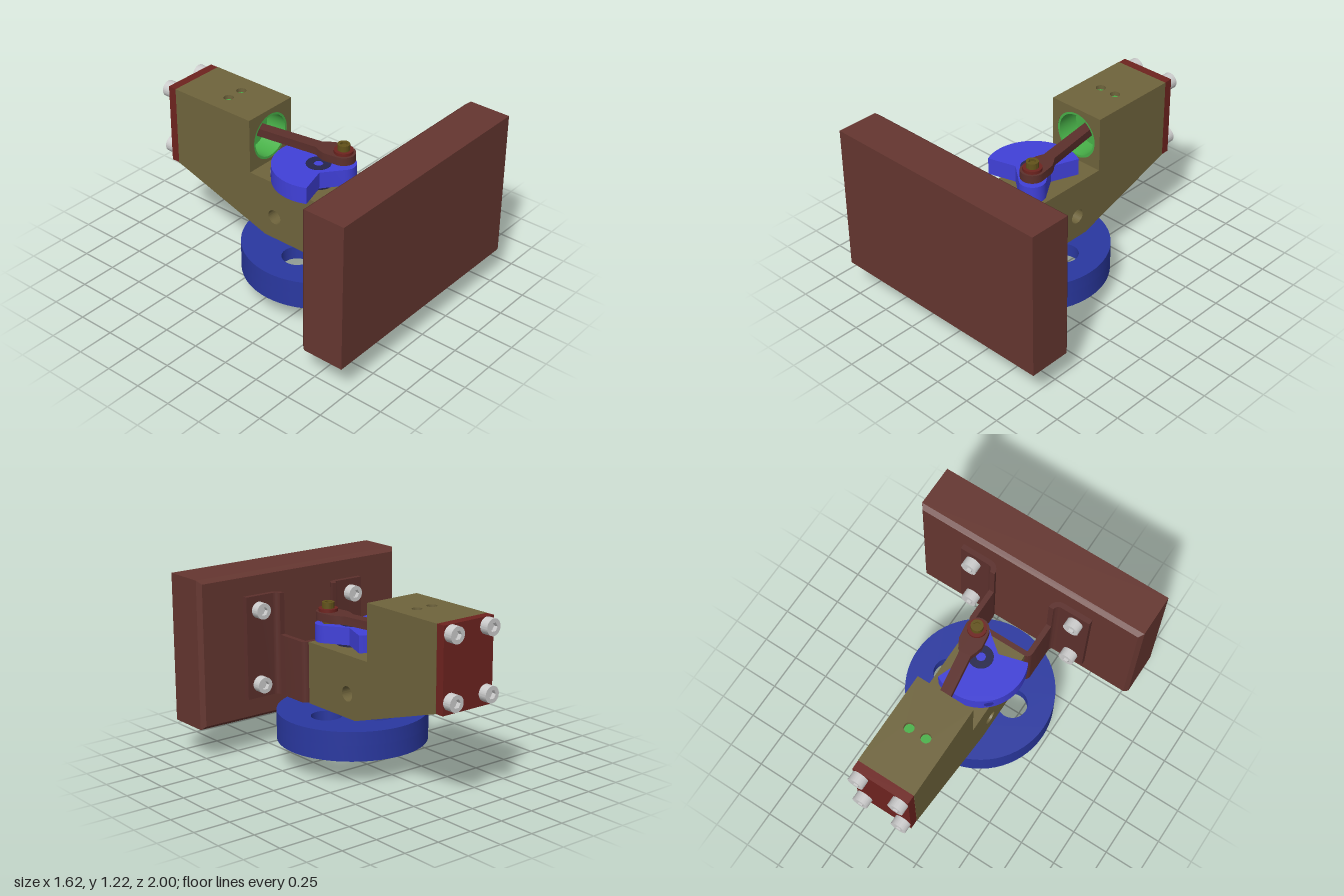
import * as THREE from 'three';
import { toCreasedNormals } from 'three/addons/utils/BufferGeometryUtils.js';

const mat = (color) => new THREE.MeshStandardMaterial({ color, side: THREE.DoubleSide });
const M = {
  board: mat(0x653630), bracket: mat(0x5c302c), housing: mat(0x6f643c), plate: mat(0x6e231f),
  wheel: mat(0x2a38a0), shaft: mat(0x26264c), web: mat(0x4040d8), socket: mat(0x2c2ca0),
  liner: mat(0x48b048), pin: mat(0x62521a), steel: mat(0xcccccc),
};
const CRANK = { x: 0, z: 0.15 }, PIN = { x: 0.105, z: 0.265 }, BORE_Y = 0.965;

export function createModel() {
  const model = new THREE.Group();

  const add = (name, geo, material, parent = model) => {
    const mesh = new THREE.Mesh(geo, material);
    mesh.name = name;
    parent.add(mesh);
    return mesh;
  };
  const poly = (pts) => new THREE.Shape(pts.map(([a, b]) => new THREE.Vector2(a, b)));
  const circle = (x, y, r) => new THREE.Shape().absarc(x, y, r, 0, Math.PI * 2);
  const arc = (cx, cy, r, a0, a1, n = 10) => Array.from({ length: n + 1 }, (_, i) => {
    const a = a0 + (a1 - a0) * i / n;
    return [cx + r * Math.cos(a), cy + r * Math.sin(a)];
  });
  const extrude = (shape, depth) => toCreasedNormals(
    new THREE.ExtrudeGeometry(shape, { depth, bevelEnabled: false, curveSegments: 32 }), 0.5);
  // outline drawn in (x, z), extruded between two heights
  const slab = (shape, y0, y1) => extrude(shape, y1 - y0).rotateX(Math.PI / 2).translate(0, y1, 0);
  const post = (x, z, r, y0, y1, sides = 32) =>
    new THREE.CylinderGeometry(r, r, y1 - y0, sides).translate(x, (y0 + y1) / 2, z);

  // Mounting board, chamfered around its back edge
  const board = new THREE.BoxGeometry(1.62, 0.995, 0.315, 1, 1, 2);
  const p = board.attributes.position;
  for (let i = 0; i < p.count; i++) {
    const z = p.getZ(i);
    if (Math.abs(z) < 0.01) p.setZ(i, -0.1275);
    else if (z < 0) p.setXY(i, p.getX(i) - Math.sign(p.getX(i)) * 0.025, p.getY(i) - Math.sign(p.getY(i)) * 0.025);
  }
  const flatBoard = board.toNonIndexed();
  flatBoard.computeVertexNormals();
  add('mountingBoard', flatBoard.translate(0, 0.7175, 0.8425), M.board);

  // Bent sheet bracket: low channel and two taller flanges
  const channel = poly([
    [0.235, 0.61], ...arc(0.195, 0.39, 0.04, 0, -Math.PI / 2), ...arc(-0.195, 0.39, 0.04, -Math.PI / 2, -Math.PI),
    [-0.235, 0.61], [-0.2, 0.61], [-0.2, 0.385], [0.2, 0.385], [0.2, 0.61],
  ]);
  // the channel stands between the flange bends
  add('bracketChannel', slab(channel, 0.375, 0.785), M.bracket);
  for (const s of [1, -1]) {
    const flange = poly([
      ...arc(0.27, 0.61, 0.07, Math.PI, Math.PI / 2), [0.475, 0.68], [0.475, 0.645],
      ...arc(0.27, 0.61, 0.035, Math.PI / 2, Math.PI),
    ].map(([x, z]) => [x * s, z]));
    add('bracketFlange', slab(flange, 0.375, 1.065), M.bracket);
  }

  // Socket-head bolts, heads facing the back
  const headShape = circle(0, 0, 0.054);
  headShape.holes.push(poly(arc(0, 0, 0.03, 0, Math.PI * 5 / 3, 5)));
  const headGeo = extrude(headShape, 0.06);
  const coreGeo = new THREE.CylinderGeometry(0.032, 0.032, 0.03, 16).rotateX(Math.PI / 2).translate(0, 0, 0.045);
  const bolt = (x, y, z) => {
    const g = new THREE.Group();
    g.name = 'bolt';
    add('boltHead', headGeo, M.steel, g);
    add('boltSocketFloor', coreGeo, M.steel, g);
    g.position.set(x, y, z);
    model.add(g);
  };
  for (const s of [1, -1]) {
    for (const y of [0.97, 0.47]) bolt(s * 0.38, y, 0.585);
    for (const y of [1.105, 0.69]) bolt(s * 0.1425, y, -1);
  }

  // Lower housing: side profile drawn in (-z, y) with a cross hole
  const side = poly([[-0.35, 0.37], [0.125, 0.37], [0.88, 0.61], [0.88, 0.785], [-0.35, 0.785]]);
  side.holes.push(circle(0.045, 0.53, 0.05));
  add('lowerHousing', extrude(side, 0.4).rotateY(Math.PI / 2).translate(-0.2, 0, 0), M.housing);

  // Cylinder block with bore, and its roof with two ports
  const block = poly([[-0.2, 0.785], [0.2, 0.785], [0.2, 1.125], [-0.2, 1.125]]);
  block.holes.push(circle(0, BORE_Y, 0.158));
  add('cylinderBlock', extrude(block, 0.635).translate(0, 0, -0.88), M.housing);
  const roof = poly([[-0.2, -0.88], [0.2, -0.88], [0.2, -0.245], [-0.2, -0.245]]);
  for (const s of [1, -1]) {
    roof.holes.push(circle(s * 0.06, -0.545, 0.033));
    add('portFloor', post(s * 0.06, -0.545, 0.033, 1.12, 1.13, 24), M.liner);
  }
  add('cylinderRoof', slab(roof, 1.125, 1.16), M.housing);
  const liner = circle(0, BORE_Y, 0.158);
  liner.holes.push(circle(0, BORE_Y, 0.143));
  add('cylinderLiner', extrude(liner, 0.63).translate(0, 0, -0.877), M.liner);
  add('piston', new THREE.CylinderGeometry(0.141, 0.141, 0.35, 40).rotateX(Math.PI / 2)
    .translate(0, BORE_Y, -0.575), M.liner);
  add('headPlate', new THREE.BoxGeometry(0.396, 0.55, 0.06).translate(0, 0.885, -0.91), M.plate);

  // Flywheel: thick rim, thin web with four round holes
  const disc = circle(0, 0, 0.495);
  for (let i = 0; i < 4; i++) {
    const a = i * Math.PI / 2 - 0.106;
    disc.holes.push(circle(0.236 * Math.cos(a), 0.236 * Math.sin(a), 0.1));
  }
  const rim = circle(0, 0, 0.495);
  rim.holes.push(circle(0, 0, 0.36));
  add('flywheelWeb', slab(disc, 0.26, 0.35).translate(0, 0, CRANK.z), M.wheel);
  add('flywheelRim', slab(rim, 0.155, 0.26).translate(0, 0, CRANK.z), M.wheel);

  // Crankshaft with collars
  add('crankshaft', post(0, CRANK.z, 0.04, 0, 0.9), M.shaft);
  add('flywheelHub', post(0, CRANK.z, 0.1, 0.235, 0.26), M.shaft);
  add('lowerCollar', post(0, CRANK.z, 0.115, 0.35, 0.372), M.wheel);
  add('upperCollar', post(0, CRANK.z, 0.105, 0.783, 0.802), M.shaft);
  const cap = circle(0, 0, 0.08);
  cap.holes.push(circle(0, 0, 0.03));
  add('shaftEnd', slab(cap, 0.9, 0.918).translate(0, 0, CRANK.z), M.shaft);

  // Crank web and counterweight, outlined with +x toward the crank pin
  const throwLen = Math.hypot(PIN.x - CRANK.x, PIN.z - CRANK.z);
  const rad = THREE.MathUtils.degToRad;
  const web = new THREE.Group();
  web.name = 'crankWeb';
  const webShape = poly([
    ...arc(throwLen, 0, 0.085, -Math.PI / 2, Math.PI / 2, 16), [0, 0.11],
    ...arc(0, 0, 0.297, rad(107), rad(253), 40), [0, -0.11],
  ]);
  add('counterweight', slab(webShape, 0.8, 0.915), M.web, web);
  add('setScrew', new THREE.CylinderGeometry(0.03, 0.03, 0.02, 20).rotateZ(Math.PI / 2)
    .translate(-0.289, 0.857, 0), M.socket, web);
  web.position.set(CRANK.x, 0, CRANK.z);
  web.rotation.y = -Math.atan2(PIN.z - CRANK.z, PIN.x - CRANK.x);
  model.add(web);

  // Connecting rod, outlined with +x from crank pin toward the piston
  const rodShape = poly([
    ...arc(0, 0, 0.078, Math.PI / 2, Math.PI * 1.5, 20), [0.1, -0.078], [0.14, -0.062], [0.18, -0.04],
    [0.72, -0.036], [0.72, 0.036], [0.18, 0.04], [0.14, 0.062], [0.1, 0.078],
  ]);
  const rod = add('connectingRod', slab(rodShape, 0.94, 0.995), M.bracket);
  rod.position.set(PIN.x, 0, PIN.z);
  rod.rotation.y = Math.atan2(0.69, -PIN.x);

  // Crank pin, washer and retaining nut
  add('crankPin', post(PIN.x, PIN.z, 0.038, 0.9, 1.04), M.pin);
  add('pinWasher', post(PIN.x, PIN.z, 0.062, 0.99, 1.015), M.plate);
  const nut = circle(0, 0, 0.04);
  nut.holes.push(poly(arc(0, 0, 0.025, 0, Math.PI * 5 / 3, 5)));
  add('pinNut', slab(nut, 1.015, 1.055).translate(PIN.x, 0, PIN.z), M.pin);

  return model;
}
